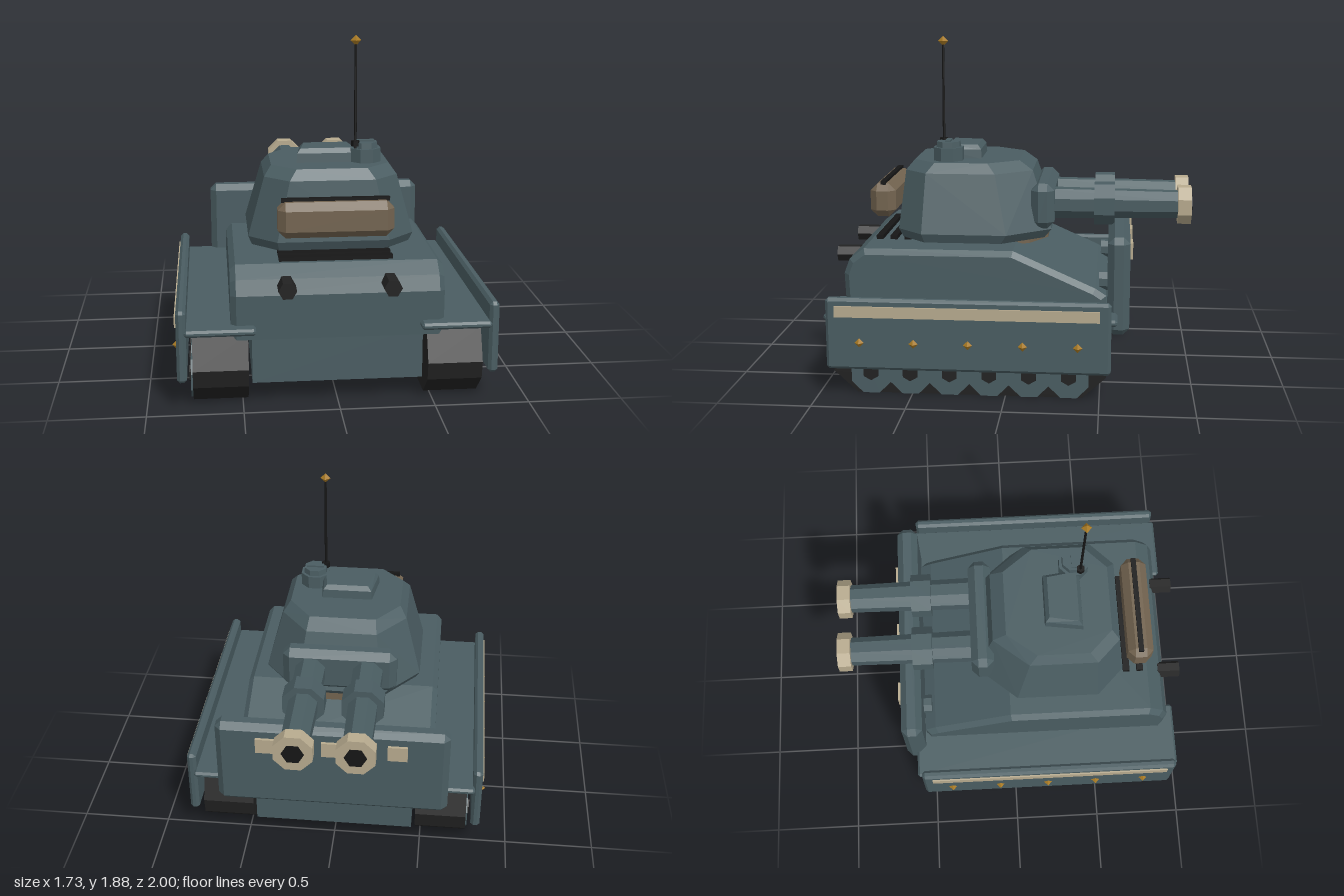
import * as THREE from 'three';
import { ConvexGeometry } from 'three/addons/geometries/ConvexGeometry.js';

const mat = (name, color) => {
  const m = new THREE.MeshStandardMaterial({ color });
  m.name = name;
  return m;
};

export function createModel() {
  const armour = mat('blue grey armour', 0x4a5d62);
  const cream = mat('cream paint', 0xb8ab8f);
  const canvas = mat('brown canvas', 0x736450);
  const rubber = mat('track rubber', 0x222222);
  const black = mat('black metal', 0x161616);
  const brass = mat('brass', 0xa87a24);
  const root = new THREE.Group();
  root.name = 'tank';

  const add = (name, geometry, material, x = 0, y = 0, z = 0) => {
    const mesh = new THREE.Mesh(geometry, material);
    mesh.name = name;
    mesh.position.set(x, y, z);
    root.add(mesh);
    return mesh;
  };
  const box = (w, h, d) => new THREE.BoxGeometry(w, h, d);

  // Box with all edges cut at 45 degrees
  const chamferBox = (w, h, d, b) => {
    const pts = [];
    for (const i of [-1, 1]) for (const j of [-1, 1]) for (const k of [-1, 1])
      for (let a = 0; a < 3; a++) {
        const inset = [b, b, b];
        inset[a] = 0;
        pts.push(new THREE.Vector3(i * (w / 2 - inset[0]), j * (h / 2 - inset[1]), k * (d / 2 - inset[2])));
      }
    return new ConvexGeometry(pts);
  };

  // Faceted cylinder along the chosen axis
  const cyl = (r1, r2, len, sides, axis = 'y', turn = Math.PI / sides) => {
    const g = new THREE.CylinderGeometry(r1, r2, len, sides).toNonIndexed();
    g.rotateY(turn);
    if (axis === 'x') g.rotateZ(Math.PI / 2);
    if (axis === 'z') g.rotateX(Math.PI / 2);
    g.computeVertexNormals();
    return g;
  };

  // Side profile of [z, y] points extruded across x
  const sideExtrude = (points, width, bevel = 0) => {
    const shape = new THREE.Shape(points.map(([z, y]) => new THREE.Vector2(z, y)));
    const g = new THREE.ExtrudeGeometry(shape, {
      depth: width - 2 * bevel, bevelEnabled: bevel > 0, bevelSize: bevel,
      bevelThickness: bevel, bevelOffset: -bevel, bevelSegments: 1,
    });
    g.translate(0, 0, bevel - width / 2);
    return g.rotateY(-Math.PI / 2);
  };

  // Hull
  add('lowerHull', box(0.9, 0.29, 1.42), armour, 0, 0.255, 0.16);
  add('upperHull', sideExtrude([
    [-0.53, 0.36], [0.9, 0.36], [0.91, 0.6], [0.88, 0.68], [0.8, 0.74],
    [-0.02, 0.74], [-0.47, 0.54], [-0.53, 0.5],
  ], 1.12, 0.03), armour);
  for (let i = 0; i < 4; i++)
    add('engineVent', box(0.6, 0.025, 0.038), black, 0, 0.75, 0.755 - i * 0.08);

  // Running gear, fenders and skirts on both sides
  const trackProfile = [
    [-0.41, 0], [0.8, 0], [0.925, 0.115], [0.94, 0.21],
    [0.87, 0.38], [-0.48, 0.38], [-0.55, 0.21], [-0.535, 0.115],
  ];
  for (const s of [-1, 1]) {
    add('track', sideExtrude(trackProfile, 0.29), rubber, s * 0.615);
    for (let i = 0; i < 6; i++) {
      const z = 0.723 - i * 0.212;
      add('roadWheel', cyl(0.115, 0.115, 0.04, 8, 'x'), armour, s * 0.752, 0.107, z);
      add('wheelHub', cyl(0.045, 0.045, 0.04, 6, 'x'), rubber, s * 0.762, 0.118, z);
    }
    add('fender', chamferBox(0.37, 0.036, 1.56, 0.012), armour, s * 0.615, 0.423, 0.19);
    add('skirt', chamferBox(0.052, 0.39, 1.51, 0.016), armour, s * 0.815, 0.345, 0.195);
    add('skirtStripe', box(0.009, 0.06, 1.4), cream, s * 0.8455, 0.47, 0.2);
    for (let i = 0; i < 5; i++)
      add('skirtRivet', new THREE.OctahedronGeometry(0.025), brass, s * 0.841, 0.3, 0.77 - i * 0.289);

    // Pipes on the front plate and knobs behind the hull
    add('frontPipe', cyl(0.048, 0.048, 0.13, 6, 'z'), rubber, s * 0.27, 0.65, 0.935);
    add('plateKnob', cyl(0.055, 0.055, 0.07, 8, 'z'), armour, s * 0.385, 0.55, -0.522);
  }

  // Rear shield with marker plates
  add('rearShield', chamferBox(1.3, 0.535, 0.12, 0.035), armour, 0, 0.578, -0.595);
  for (const x of [-0.365, 0, 0.365])
    add('markerPlate', box(0.11, 0.09, 0.02), cream, x, 0.725, -0.662);

  // Turret: stacked octagonal sections [y, half width, front z, rear z, front cut, rear cut]
  add('turretRing', cyl(0.37, 0.37, 0.06, 12), canvas, 0, 0.755, 0.17);
  const sections = [
    [0.755, 0.43, 0.62, -0.175, 0.14, 0.19],
    [0.805, 0.45, 0.645, -0.215, 0.15, 0.2],
    [1.13, 0.36, 0.61, -0.105, 0.13, 0.16],
    [1.185, 0.32, 0.565, -0.03, 0.13, 0.13],
  ];
  const turretPoints = [];
  for (const [y, w, front, rear, cf, cr] of sections)
    for (const s of [-1, 1])
      turretPoints.push(
        new THREE.Vector3(s * (w - cf), y, front), new THREE.Vector3(s * w, y, front - cf),
        new THREE.Vector3(s * w, y, rear + cr + 0.04), new THREE.Vector3(s * (w - cr), y, rear));
  add('turret', new ConvexGeometry(turretPoints), armour);
  add('mantlet', chamferBox(0.65, 0.255, 0.13, 0.04), armour, 0, 0.942, -0.167);

  // Twin guns
  for (const x of [-0.163, 0.163]) {
    add('barrel', cyl(0.092, 0.08, 0.78, 8, 'z'), armour, x, 0.942, -0.55);
    add('barrelSleeve', cyl(0.124, 0.124, 0.115, 8, 'z'), armour, x, 0.942, -0.51);
    add('muzzle', cyl(0.112, 0.112, 0.075, 8, 'z'), cream, x, 0.942, -0.957);
    add('bore', cyl(0.06, 0.06, 0.02, 6, 'z'), black, x, 0.942, -0.99);
  }

  // Stowage roll in front of the turret
  add('stowageRoll', chamferBox(0.61, 0.19, 0.145, 0.04), canvas, 0, 0.96, 0.738);
  add('stowageStrap', box(0.57, 0.02, 0.028), black, 0, 1.06, 0.735);

  // Roof hatch with bevelled top
  const hatch = [];
  for (const [y, inset] of [[1.18, 0], [1.235, 0.005], [1.26, 0.025]])
    for (const [x, z] of [[-0.15, 0.19], [0.14, 0.19], [0.165, 0.405], [-0.18, 0.405]])
      hatch.push(new THREE.Vector3(x - Math.sign(x) * inset, y, z + (z < 0.3 ? inset : -inset)));
  add('roofHatch', new ConvexGeometry(hatch), armour);

  // Cupola and antenna
  add('cupolaBase', cyl(0.088, 0.088, 0.08, 8), armour, 0.2, 1.22, 0.37);
  add('cupolaTop', cyl(0.068, 0.072, 0.04, 8), armour, 0.2, 1.272, 0.37);
  add('cupolaHandle', box(0.1, 0.015, 0.03), armour, 0.2, 1.294, 0.37);
  add('antennaBase', cyl(0.024, 0.024, 0.03, 6), black, 0.142, 1.288, 0.405);
  add('antenna', cyl(0.007, 0.008, 0.63, 6), black, 0.142, 1.515, 0.405);
  add('antennaTip', new THREE.OctahedronGeometry(0.029), brass, 0.142, 1.848, 0.405);

  return root;
}
